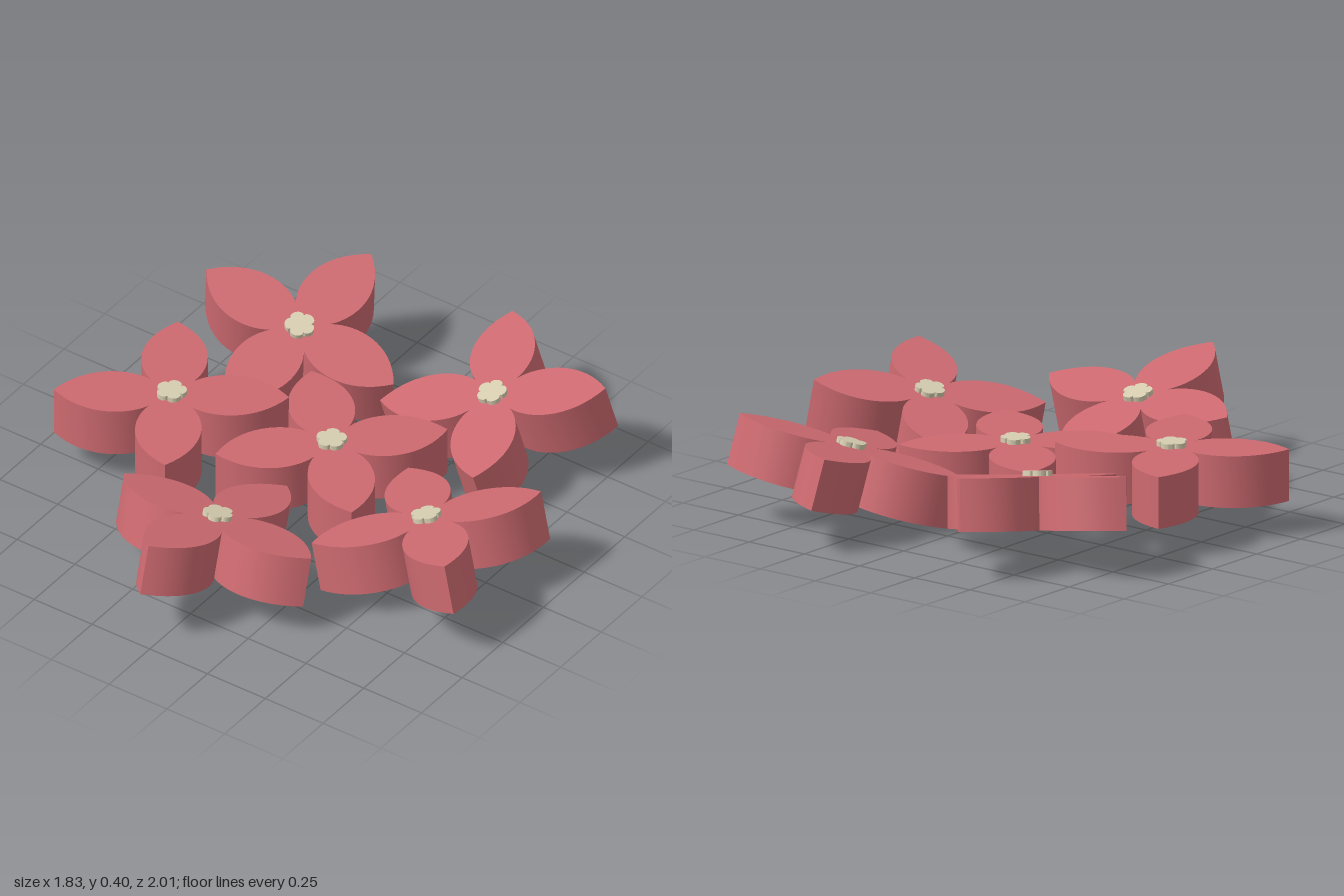
import * as THREE from 'three';
import { toCreasedNormals } from 'three/addons/utils/BufferGeometryUtils.js';

const THICKNESS = 0.19;
const BUD_HEIGHT = 0.018;

// Outline of four pointed petals, meeting in notches near the centre
function petalShape() {
  const shape = new THREE.Shape();
  const at = (u, v, k) => {
    const a = k * Math.PI / 2;
    return [u * Math.cos(a) - v * Math.sin(a), u * Math.sin(a) + v * Math.cos(a)];
  };
  shape.moveTo(...at(0.055, -0.055, 0));
  for (let k = 0; k < 4; k++) {
    shape.bezierCurveTo(...at(0.11, -0.125, k), ...at(0.29, -0.17, k), ...at(0.417, 0, k));
    shape.bezierCurveTo(...at(0.29, 0.17, k), ...at(0.11, 0.125, k), ...at(0.055, 0.055, k));
  }
  return shape;
}

// Small five-lobed outline for the flower centre
function budShape() {
  const points = [];
  for (let i = 0; i < 60; i++) {
    const a = i / 60 * Math.PI * 2;
    const r = 0.04 + 0.015 * Math.sqrt(Math.abs(Math.cos(a * 2.5)));
    points.push(new THREE.Vector2(r * Math.cos(a), r * Math.sin(a)));
  }
  return new THREE.Shape(points);
}

// Upright slab with its base at the given height
function slab(shape, depth, base) {
  const geometry = new THREE.ExtrudeGeometry(shape, { depth, bevelEnabled: false, curveSegments: 18 });
  geometry.rotateX(-Math.PI / 2).translate(0, base, 0);
  return toCreasedNormals(geometry, 0.5);
}

export function createModel() {
  const model = new THREE.Group();
  model.name = 'flowerCluster';
  const petalMaterial = new THREE.MeshStandardMaterial({ color: 0xcd6a70 });
  petalMaterial.name = 'petal pink';
  const budMaterial = new THREE.MeshStandardMaterial({ color: 0xd6cdb0 });
  budMaterial.name = 'centre cream';

  const petals = slab(petalShape(), THICKNESS, -THICKNESS);
  const bud = slab(budShape(), BUD_HEIGHT + 0.01, -0.01);

  // Top centre, spin in degrees, and sideways lean of each flower
  const flowers = [
    { name: 'middleFlower', at: [0.023, 0.265, -0.085], spin: 45, lean: [0, 0] },
    { name: 'rightFlower', at: [-0.562, 0.318, 0.068], spin: 32, lean: [0, 0] },
    { name: 'leftFlower', at: [0.58, 0.305, 0.123], spin: 45, lean: [-0.245, -0.055] },
    { name: 'backLeftFlower', at: [0.36, 0.303, -0.598], spin: 24.5, lean: [-0.135, 0.22] },
    { name: 'backRightFlower', at: [-0.418, 0.31, -0.518], spin: -2, lean: [0.16, 0.19] },
    { name: 'frontFlower', at: [-0.028, 0.305, 0.542], spin: -2.4, lean: [0, -0.265] },
  ];
  const up = new THREE.Vector3(0, 1, 0);
  for (const { name, at, spin, lean: [nx, nz] } of flowers) {
    const flower = new THREE.Group();
    flower.name = name;
    const normal = new THREE.Vector3(nx, Math.sqrt(1 - nx * nx - nz * nz), nz);
    const turn = new THREE.Quaternion().setFromAxisAngle(up, THREE.MathUtils.degToRad(spin));
    flower.quaternion.setFromUnitVectors(up, normal).multiply(turn);
    flower.position.set(...at);

    const petalMesh = new THREE.Mesh(petals, petalMaterial);
    petalMesh.name = 'petals';
    const budMesh = new THREE.Mesh(bud, budMaterial);
    budMesh.name = 'flowerCentre';
    flower.add(petalMesh, budMesh);
    model.add(flower);
  }
  return model;
}
